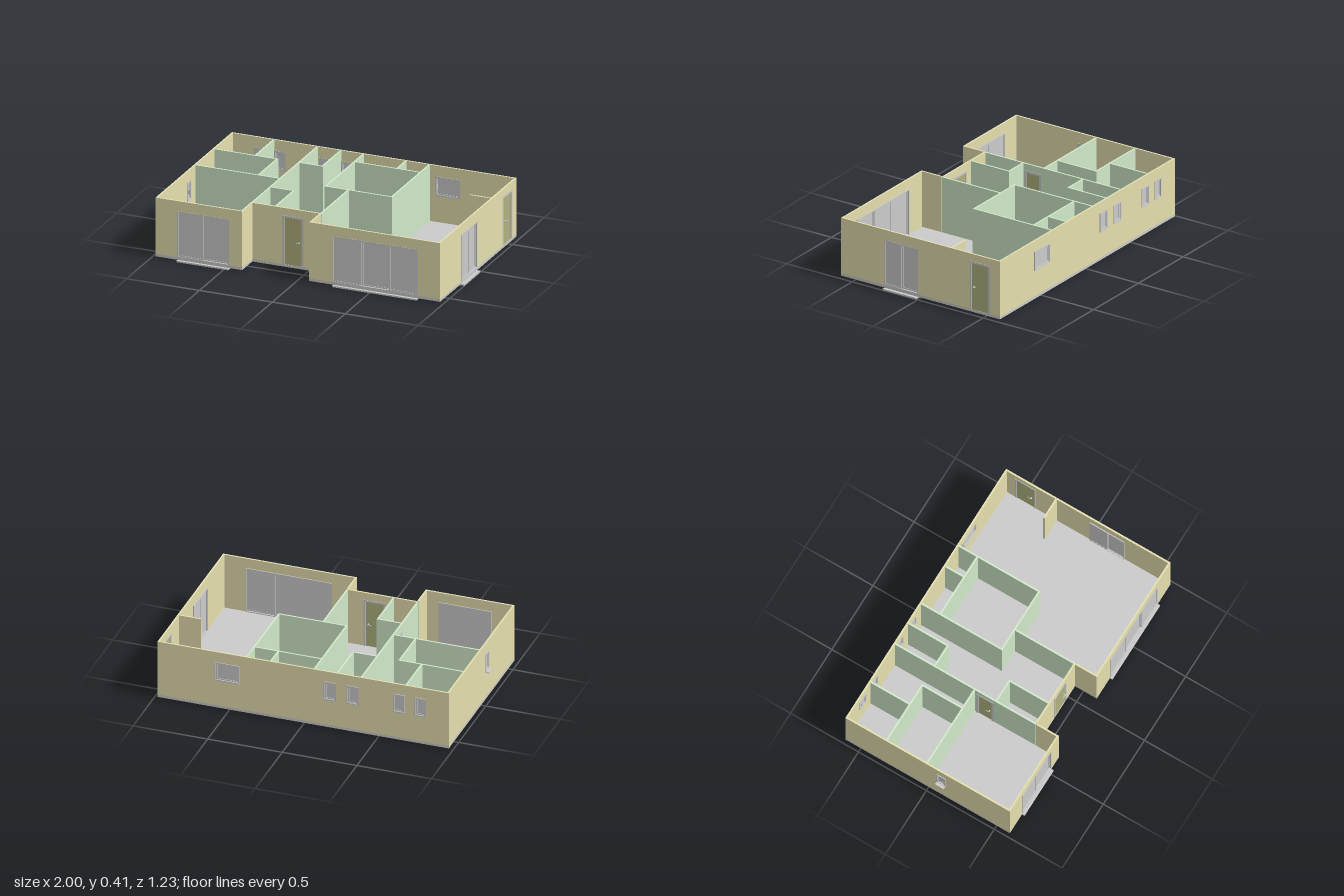
import * as THREE from 'three';

const mat = (color) => new THREE.MeshStandardMaterial({ color });
const GREY = mat(0xcccccc), TAN = mat(0xe5dfae), GREEN = mat(0xd0e9c9), OLIVE = mat(0xb1b280);
const FLOOR = 0.027, TOP = 0.408, T = 0.012;

// Box given by its minimum and maximum corners
function box(parent, name, material, x0, x1, y0, y1, z0, z1) {
  const mesh = new THREE.Mesh(new THREE.BoxGeometry(x1 - x0, y1 - y0, z1 - z0), material);
  mesh.position.set((x0 + x1) / 2, (y0 + y1) / 2, (z0 + z1) / 2);
  mesh.name = name;
  parent.add(mesh);
  return mesh;
}

// Rectangular frame of four bars; doors leave out the bottom one
function frame(g, u0, u1, y0, y1, z0, z1, bar, bottom = true) {
  box(g, 'frameSide', GREY, u0, u0 + bar, y0, y1, z0, z1);
  box(g, 'frameSide', GREY, u1 - bar, u1, y0, y1, z0, z1);
  box(g, 'frameTop', GREY, u0 + bar, u1 - bar, y1 - bar, y1, z0, z1);
  if (bottom) box(g, 'frameBottom', GREY, u0 + bar, u1 - bar, y0, y0 + bar, z0, z1);
}

// Lever handle on both faces of a door
function handle(g, u, y, dir, zIn, zOut) {
  for (const [z, s] of [[zOut, 1], [zIn, -1]]) {
    const rose = new THREE.Mesh(new THREE.CylinderGeometry(0.005, 0.005, 0.012, 10), GREY);
    rose.rotation.x = Math.PI / 2;
    rose.position.set(u, y, z + s * 0.005);
    rose.name = 'handleRose';
    g.add(rose);
    const lever = new THREE.Mesh(new THREE.BoxGeometry(0.026, 0.004, 0.004), GREY);
    lever.position.set(u + dir * 0.012, y, z + s * 0.011);
    lever.name = 'handleLever';
    g.add(lever);
  }
}

// What goes into an opening; local x runs along the wall, local z points outward
const fillers = {
  door(g, u0, u1, y0, y1, o) {
    frame(g, u0, u1, y0, y1, -T - 0.003, 0.003, 0.013, false);
    box(g, 'doorLeaf', OLIVE, u0 + 0.013, u1 - 0.013, 0.011, y1 - 0.013, -T + 0.002, -0.002);
    const right = o.handleSide > 0;
    handle(g, right ? u1 - 0.03 : u0 + 0.03, 0.185, right ? -1 : 1, -T, 0);
  },
  window(g, u0, u1, y0, y1, o) {
    frame(g, u0, u1, y0, y1, -T - 0.003, 0.005, 0.008);
    frame(g, u0 + 0.009, u1 - 0.009, y0 + 0.009, y1 - 0.009, -T, -0.001, 0.008);
    box(g, 'glass', GREY, u0 + 0.008, u1 - 0.008, y0 + 0.008, y1 - 0.008, -0.009, -0.005);
    box(g, 'windowHandle', GREY, u1 - 0.018, u1 - 0.014, y0 + 0.05, y0 + 0.075, -T - 0.01, -T);
    if (o.sill) box(g, 'windowSill', GREY, u0, u1, y0 - 0.004, y0 + 0.002, -0.005, o.sill);
  },
  sliding(g, u0, u1, y0, y1, o) {
    frame(g, u0, u1, y0, y1, -T - 0.006, 0.002, 0.006);
    const w = (u1 - u0 - 0.012) / o.panes;
    for (let i = 0; i < o.panes; i++) {
      const a = u0 + 0.006 + i * w, z = i % 2 ? -0.014 : -0.006;
      frame(g, a, a + w, y0 + 0.006, y1 - 0.006, z - 0.003, z + 0.005, 0.008);
      box(g, 'glass', GREY, a + 0.008, a + w - 0.008, y0 + 0.014, y1 - 0.014, z - 0.001, z + 0.002);
    }
    box(g, 'threshold', GREY, u0, u1, 0, 0.01, -0.025, o.sill);
  },
};

// Straight wall from a to b with openings listed in plan coordinates along it
function wall(parent, name, material, a, b, openings = [], centred = false) {
  const dx = b[0] - a[0], dz = b[1] - a[1], len = Math.hypot(dx, dz);
  const g = new THREE.Group();
  g.name = name;
  g.position.set(a[0], 0, a[1]);
  g.rotation.y = Math.atan2(-dz, dx);
  const zOff = centred ? T / 2 : 0, top = centred ? TOP - 0.002 : TOP;
  const axis = Math.abs(dx) > Math.abs(dz) ? 0 : 1;
  const list = openings.map((o) => {
    const u = o.at.map((c) => Math.abs(c - a[axis])).sort((p, q) => p - q);
    return { ...o, u0: u[0], u1: u[1] };
  }).sort((p, q) => p.u0 - q.u0);
  const piece = (u0, u1, y0, y1) => box(g, 'wallPanel', material, u0, u1, y0, y1, zOff - T, zOff);
  let u = 0;
  for (const o of list) {
    const [y0, y1] = o.y;
    piece(u, o.u0, FLOOR, top);
    piece(o.u0, o.u1, y1, top);
    if (y0 > FLOOR) piece(o.u0, o.u1, FLOOR, y0);
    const unit = new THREE.Group();
    unit.name = o.kind;
    unit.position.z = zOff;
    fillers[o.kind](unit, o.u0, o.u1, y0, y1, o);
    g.add(unit);
    u = o.u1;
  }
  piece(u, len, FLOOR, top);
  parent.add(g);
}

export function createModel() {
  const house = new THREE.Group();
  house.name = 'house';

  // Footprint with the recessed entrance, counter-clockwise from the front
  const L = -0.975, R = 0.978, F = 0.6, B = -0.612, E = 0.44, N0 = -0.38, N1 = 0.08;
  const plan = [[L, F], [N0, F], [N0, E], [N1, E], [N1, F], [R, F], [R, B], [L, B]];

  // Floor slab
  const shape = new THREE.Shape(plan.map(([x, z]) => new THREE.Vector2(x, -z)));
  const slabGeo = new THREE.ExtrudeGeometry(shape, { depth: FLOOR - 0.01, bevelEnabled: false });
  slabGeo.rotateX(-Math.PI / 2);
  const slab = new THREE.Mesh(slabGeo, GREY);
  slab.position.y = 0.01;
  slab.name = 'floorSlab';
  house.add(slab);

  // Outer walls with their doors and windows
  const low = [FLOOR, 0.34], high = [0.205, 0.335], doorY = [FLOOR, 0.358];
  const win = (p, q, sill = 0) => ({ kind: 'window', at: [p, q], y: high, sill });
  const slide = (p, q, panes, sill) => ({ kind: 'sliding', at: [p, q], y: low, panes, sill });
  const door = (p, q, handleSide) => ({ kind: 'door', at: [p, q], y: doorY, handleSide });
  const outer = [
    ['frontLeftRoomWall', [slide(-0.825, -0.47, 2, 0.017)]],
    ['porchSideWall', []],
    ['entranceWall', [door(-0.173, -0.027, 1)]],
    ['porchSideWall', []],
    ['frontWall', [slide(0.243, 0.823, 3, 0.017)]],
    ['leftSideWall', [slide(0.013, 0.268, 2, 0.022), door(-0.538, -0.386, -1)]],
    ['backWall', [win(0.425, 0.595), win(-0.22, -0.135), win(-0.37, -0.29),
      win(-0.68, -0.602), win(-0.82, -0.745)]],
    ['rightSideWall', [win(0.063, 0.127, 0.025)]],
  ];
  outer.forEach(([name, openings], i) =>
    wall(house, name, TAN, plan[i], plan[(i + 1) % plan.length], openings));

  // Inner partitions: x0, z0, x1, z1
  const b = B + 0.006, l = L + 0.006;
  const partitions = [
    [-0.685, b, -0.685, -0.312], [l, -0.312, -0.529, -0.312],
    [-0.535, -0.312, -0.535, -0.015], [l, -0.015, -0.386, -0.015],
    [-0.386, b, -0.386, 0], [-0.386, 0.13, -0.386, 0.435],
    [-0.386, -0.312, -0.219, -0.312], [-0.225, b, -0.225, -0.312],
    [-0.07, b, -0.07, -0.002], [-0.07, -0.462, 0.385, -0.462],
    [0.222, b, 0.222, -0.462], [0.383, b, 0.383, -0.002],
    [-0.07, -0.008, 0.389, -0.008], [0.086, -0.008, 0.086, 0.435],
    [-0.386, 0.142, -0.219, 0.142], [-0.225, 0.142, -0.225, 0.434],
  ];
  for (const [x0, z0, x1, z1] of partitions)
    wall(house, 'partition', GREEN, [x0, z0], [x1, z1], [], true);

  // Partition stretch with the room door, and the short stub wall
  wall(house, 'roomDoorWall', GREEN, [-0.386, 0.13], [-0.386, 0],
    [door(0.003, 0.127, -1)], true);
  wall(house, 'stubWall', TAN, [0.82, -0.237], [R - 0.006, -0.237], [], true);

  return house;
}
